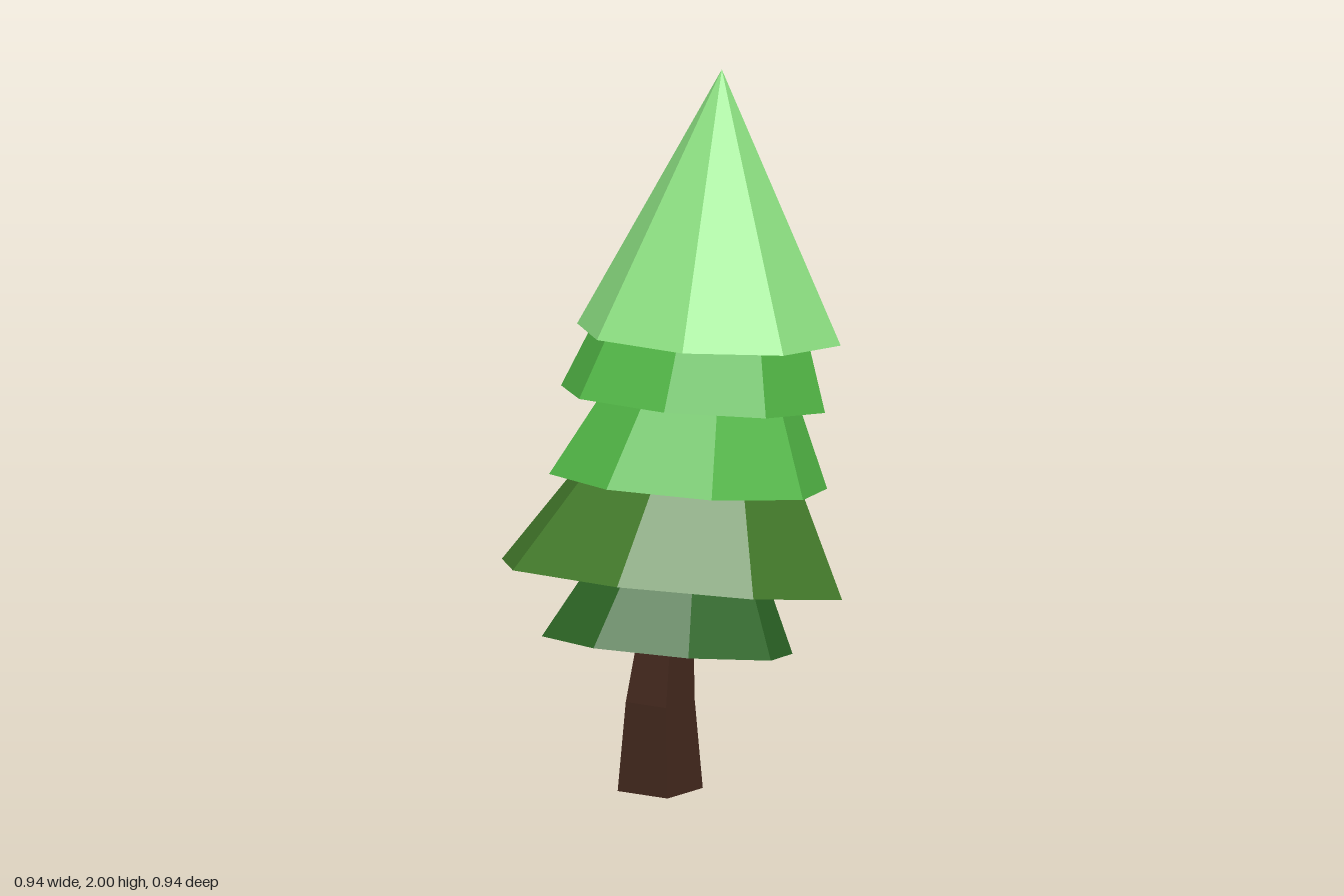
import * as THREE from 'three';

const material = (color) => new THREE.MeshStandardMaterial({ color, flatShading: true });

// Move every vertex of a geometry by a rule, then make facets
function reshape(geometry, rule) {
  const pos = geometry.attributes.position;
  const v = new THREE.Vector3();
  for (let i = 0; i < pos.count; i++) {
    rule(v.fromBufferAttribute(pos, i));
    pos.setXYZ(i, v.x, v.y, v.z);
  }
  const faceted = geometry.toNonIndexed();
  faceted.computeVertexNormals();
  return faceted;
}

// Eight-sided foliage skirt: the rim is tilted and the axis leans
function tier({ name, color, base, radius, top, height, turn, tilt, lean }) {
  const geometry = new THREE.CylinderGeometry(top, radius, height, 8, 1, false, -THREE.MathUtils.degToRad(turn));
  geometry.translate(0, height / 2, 0);
  const mesh = new THREE.Mesh(reshape(geometry, (v) => {
    const h = v.y;
    v.y += base[1] + tilt[0] * v.x + tilt[1] * v.z;
    v.x += base[0] + lean[0] * h;
    v.z += base[2] + lean[1] * h;
  }), material(color));
  mesh.name = name;
  return mesh;
}

// Square trunk, tapered, bending backwards at half height
function trunk() {
  const rings = [
    { y: 0, x: 0.005, z: 0.063, w: 0.168 },
    { y: 0.25, x: 0.005, z: 0.063, w: 0.136 },
    { y: 0.5, x: 0.007, z: 0.03, w: 0.1 },
  ];
  const geometry = new THREE.BoxGeometry(1, 2, 1, 1, 2, 1).translate(0, 1, 0);
  const mesh = new THREE.Mesh(reshape(geometry, (v) => {
    const r = rings[Math.round(v.y)];
    v.set(r.x + v.x * r.w, r.y, r.z + v.z * r.w);
  }), material(0x43281d));
  mesh.name = 'trunk';
  return mesh;
}

export function createModel() {
  const tree = new THREE.Group();
  tree.name = 'tree';
  tree.add(trunk());

  const tiers = [
    { name: 'lowestFoliage', color: 0x2d6726, base: [0.01, 0.403, 0.037], radius: 0.35, top: 0.17,
      height: 0.35, turn: 0, tilt: [0, 0.151], lean: [0.05, -0.18] },
    { name: 'wideFoliage', color: 0x447b2b, base: [0, 0.58, 0], radius: 0.492, top: 0.25,
      height: 0.4, turn: 27.5, tilt: [0, 0.17], lean: [0.1, -0.17] },
    { name: 'middleFoliage', color: 0x53b947, base: [0.033, 0.855, -0.03], radius: 0.388, top: 0.21,
      height: 0.36, turn: 0, tilt: [-0.01, 0.117], lean: [0.08, -0.14] },
    { name: 'upperFoliage', color: 0x53b947, base: [0.027, 1.08, -0.062], radius: 0.372, top: 0.26,
      height: 0.3, turn: 22, tilt: [-0.01, 0.124], lean: [0.08, -0.1] },
    { name: 'crownFoliage', color: 0x8de182, base: [0.065, 1.263, -0.084], radius: 0.37, top: 0,
      height: 0.737, turn: 21, tilt: [-0.01, 0.08], lean: [0.005, -0.076] },
  ];
  for (const t of tiers) tree.add(tier(t));
  return tree;
}
